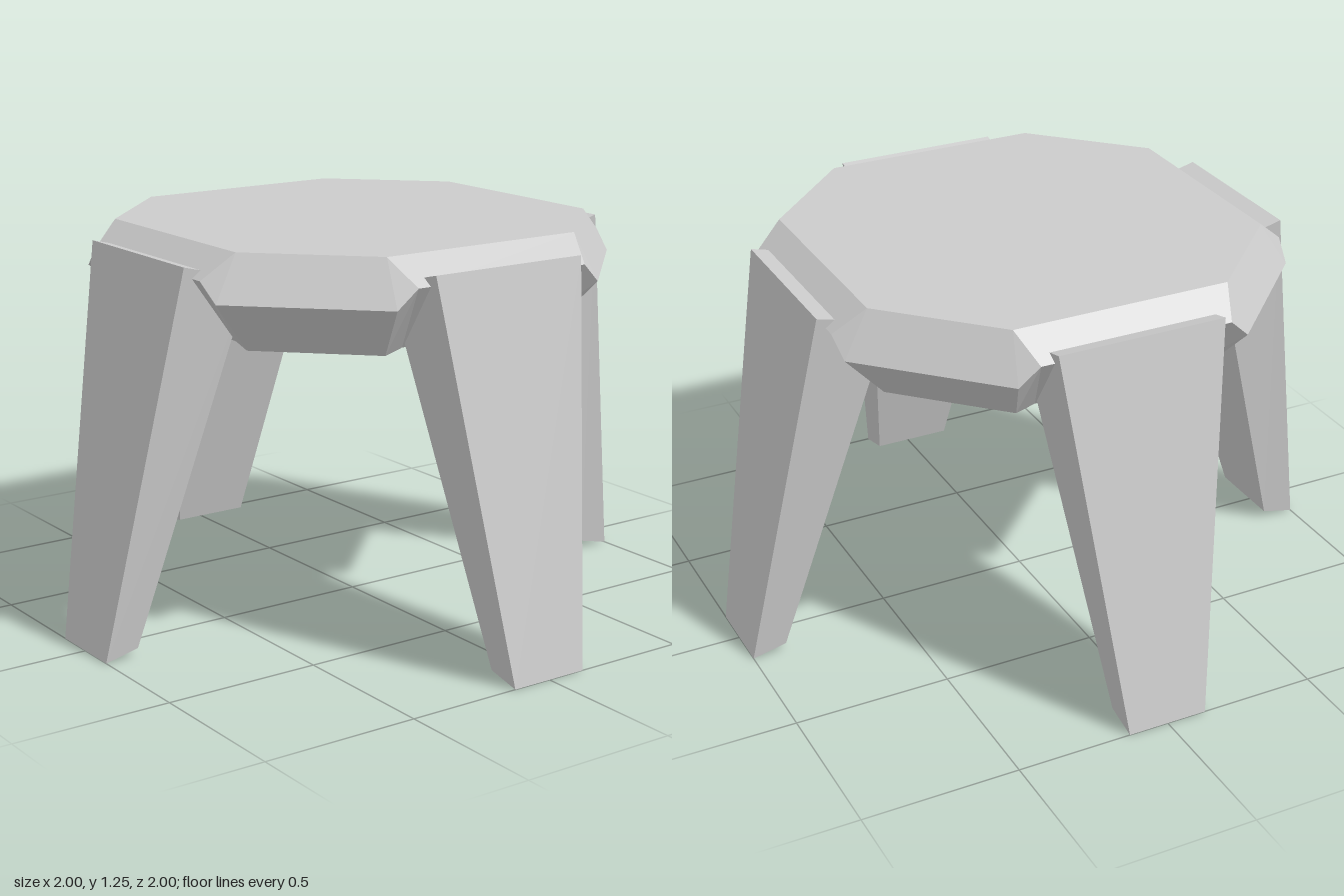
import * as THREE from 'three';

const material = new THREE.MeshStandardMaterial({ color: 0xcccccc, flatShading: true });

// Sixteen points: one side's four points turned about y in quarter steps.
// corner and side are [x, y, z] on the +z side.
function ring(corner, side) {
  const [dx, dy, dz] = corner, [cx, cy, cz] = side;
  const quarter = [[-dx, dy, dz], [-cx, cy, cz], [cx, cy, cz], [dx, dy, dz]];
  const points = [];
  const up = new THREE.Vector3(0, 1, 0);
  for (let q = 0; q < 4; q++) {
    for (const p of quarter) {
      points.push(new THREE.Vector3(...p).applyAxisAngle(up, q * Math.PI / 2));
    }
  }
  return points;
}

// Octagonal slab with bevelled edges, lofted through three rings
function seatGeometry() {
  const rings = [
    ring([0.31, 0.945, 0.6], [0.25, 0.962, 0.6]),
    ring([0.375, 1.11, 0.745], [0.31, 1.17, 0.757]),
    ring([0.35, 1.25, 0.66], [0.35, 1.25, 0.66]),
  ];
  const bottom = new THREE.Vector3(0, 0.97, 0);
  const top = new THREE.Vector3(0, 1.25, 0);
  const positions = [];
  const face = (a, b, c) => {
    const same = a.distanceTo(b) < 1e-6 || b.distanceTo(c) < 1e-6 || a.distanceTo(c) < 1e-6;
    if (!same) for (const p of [a, b, c]) positions.push(p.x, p.y, p.z);
  };
  for (let i = 0; i < 16; i++) {
    const j = (i + 1) % 16;
    for (let r = 0; r < 2; r++) {
      const low = rings[r], high = rings[r + 1];
      face(low[i], low[j], high[j]);
      face(low[i], high[j], high[i]);
    }
    face(bottom, rings[0][j], rings[0][i]);
    face(top, rings[2][i], rings[2][j]);
  }
  const geometry = new THREE.BufferGeometry();
  geometry.setAttribute('position', new THREE.Float32BufferAttribute(positions, 3));
  geometry.computeVertexNormals();
  return geometry;
}

// Tapered, splayed leg on the +z side: a box with its corners moved
function legGeometry() {
  const geometry = new THREE.BoxGeometry(1, 1, 1).toNonIndexed();
  const p = geometry.attributes.position;
  for (let i = 0; i < p.count; i++) {
    const isTop = p.getY(i) > 0, isOuter = p.getZ(i) > 0;
    const halfWidth = isTop ? 0.27 : 0.13;
    const [y, z] = isTop
      ? (isOuter ? [1.207, 0.785] : [1.15, 0.56])
      : (isOuter ? [0, 1] : [0.025, 0.89]);
    p.setXYZ(i, Math.sign(p.getX(i)) * halfWidth, y, z);
  }
  geometry.computeVertexNormals();
  return geometry;
}

export function createModel() {
  const group = new THREE.Group();
  group.name = 'stool';

  const seat = new THREE.Mesh(seatGeometry(), material);
  seat.name = 'seat';
  group.add(seat);

  // Four legs, one per side
  const geometry = legGeometry();
  ['frontLeg', 'leftLeg', 'backLeg', 'rightLeg'].forEach((name, i) => {
    const leg = new THREE.Mesh(geometry, material);
    leg.name = name;
    leg.rotation.y = i * Math.PI / 2;
    group.add(leg);
  });
  return group;
}
